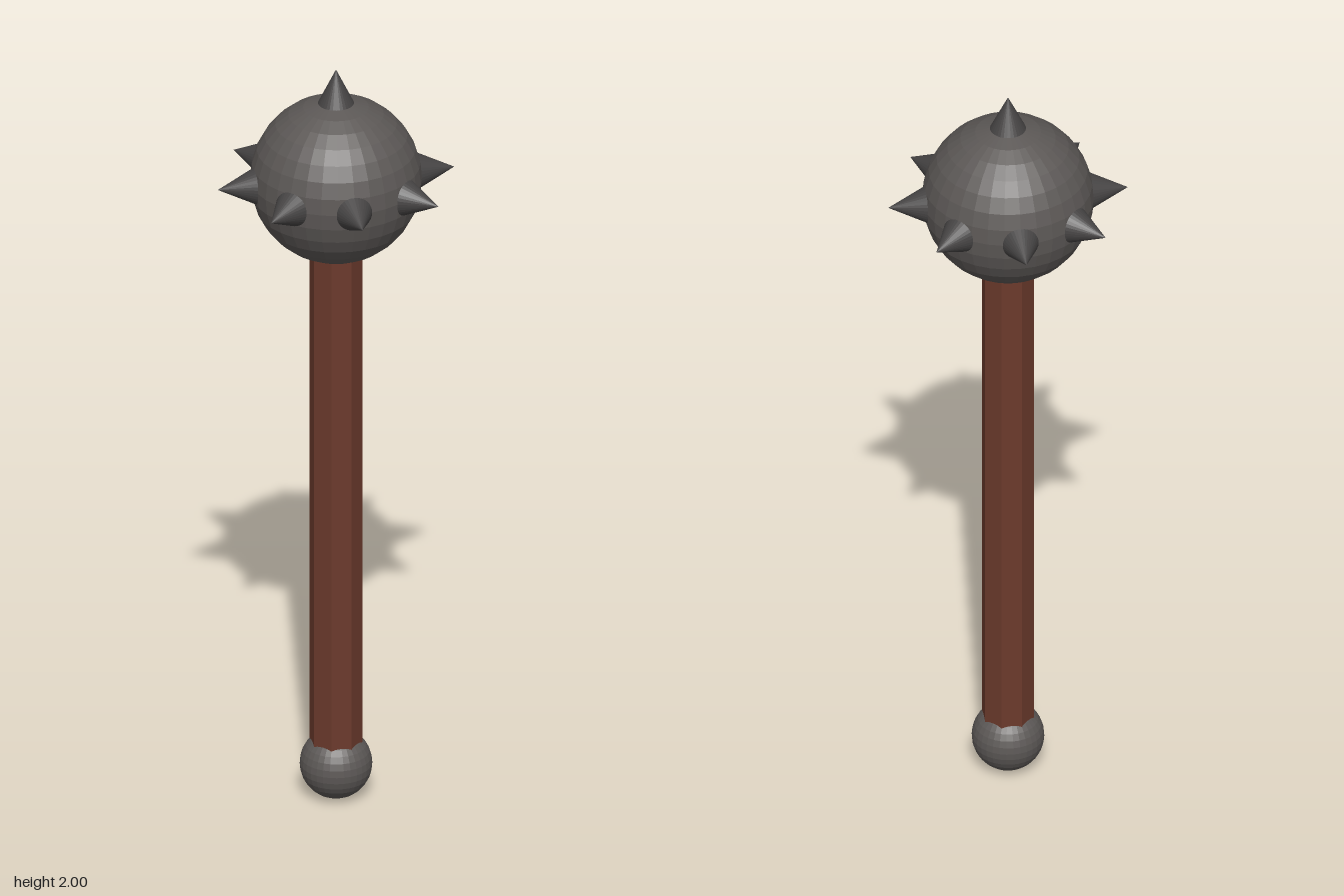
import * as THREE from 'three';

const HEAD_Y = 1.7;

function material(color) {
  return new THREE.MeshStandardMaterial({ color, flatShading: true });
}

function addPart(parent, name, geometry, mat, y = 0) {
  const mesh = new THREE.Mesh(geometry, mat);
  mesh.name = name;
  mesh.position.y = y;
  parent.add(mesh);
  return mesh;
}

export function createModel() {
  const model = new THREE.Group();
  model.name = 'spikedMace';
  const iron = material(0x5c5856);
  const darkIron = material(0x464444);
  const wood = material(0x6b3a2c);

  // Octagonal wooden handle with a flat facing forward
  const handle = new THREE.CylinderGeometry(0.066, 0.066, 1.42, 8);
  handle.rotateY(Math.PI / 8);
  addPart(model, 'handle', handle, wood, 0.81);

  // Round iron pommel and head
  addPart(model, 'pommel', new THREE.SphereGeometry(0.09, 32, 16), iron, 0.09);
  addPart(model, 'head', new THREE.SphereGeometry(0.213, 32, 16), iron, HEAD_Y);

  // Spikes point along +y from the head centre, their bases sunk in the head
  const spikes = new THREE.Group();
  spikes.name = 'spikes';
  spikes.position.y = HEAD_Y;
  model.add(spikes);
  const spike = new THREE.ConeGeometry(0.0485, 0.1, 32);
  spike.translate(0, 0.25, 0);
  addPart(spikes, 'topSpike', spike, darkIron);

  // Ring of eight spikes around the equator
  const up = new THREE.Vector3(0, 1, 0);
  for (let i = 0; i < 8; i++) {
    const a = (i * Math.PI) / 4;
    const direction = new THREE.Vector3(Math.cos(a), 0, Math.sin(a));
    const mesh = addPart(spikes, `sideSpike${i + 1}`, spike, darkIron);
    mesh.quaternion.setFromUnitVectors(up, direction);
  }
  return model;
}
